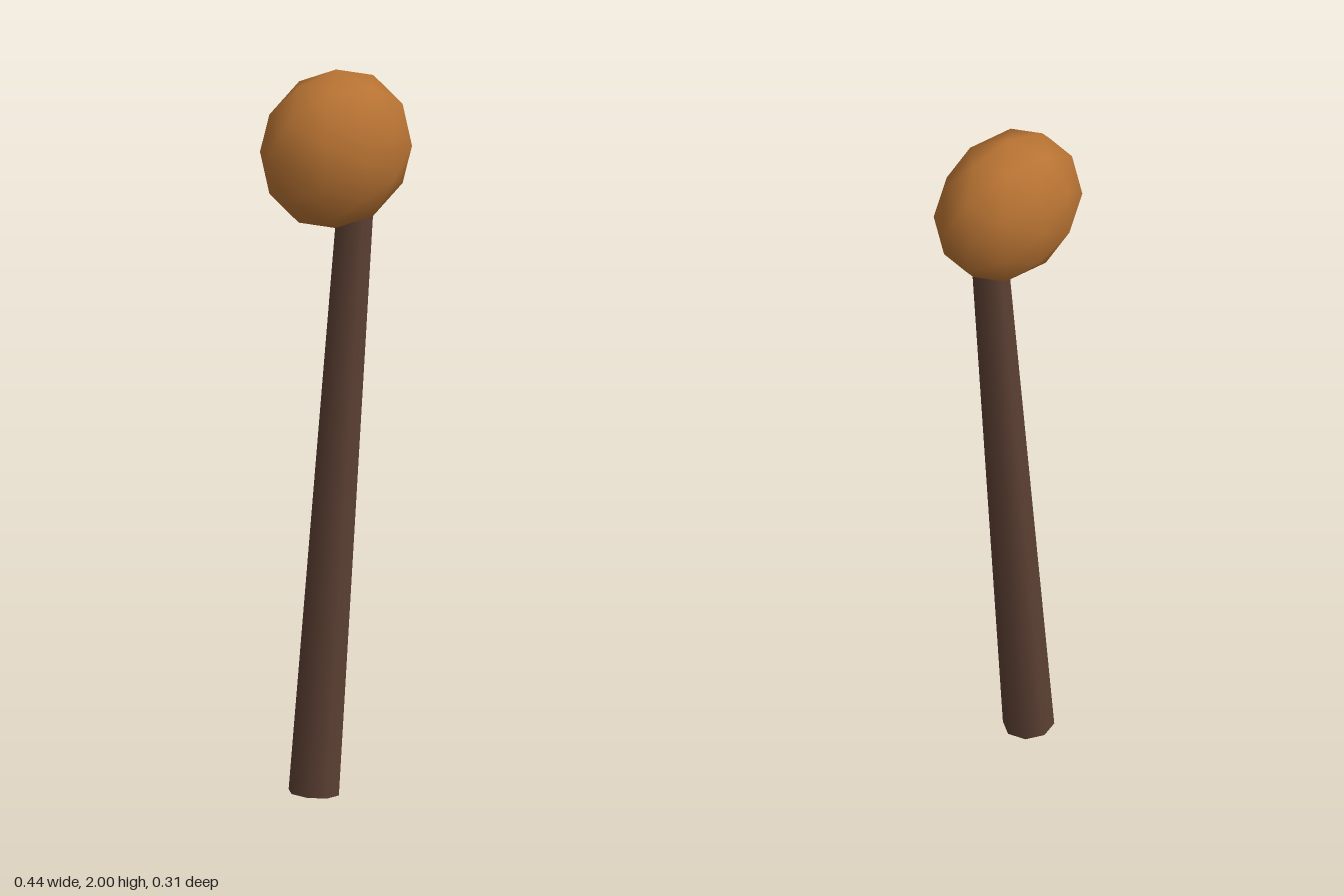
import * as THREE from 'three';

export function createModel() {
  const model = new THREE.Group();

  // Faceted ball head, flattened front to back
  const head = new THREE.Mesh(
    new THREE.IcosahedronGeometry(0.22, 1),
    new THREE.MeshStandardMaterial({ color: 0xb87333 })
  );
  head.name = 'head';
  head.position.y = 1.78;
  head.scale.z = 0.7;
  model.add(head);

  // Tapered eight-sided handle, leaning and running up into the head
  const length = 1.68;
  const shaft = new THREE.CylinderGeometry(0.049, 0.069, length, 8);
  shaft.translate(0, length / 2, 0);
  const handle = new THREE.Mesh(
    shaft,
    new THREE.MeshStandardMaterial({ color: 0x5c4033 })
  );
  handle.name = 'handle';
  handle.position.set(-0.069, 0.006, 0);
  handle.rotation.z = -0.08;
  model.add(handle);

  return model;
}
